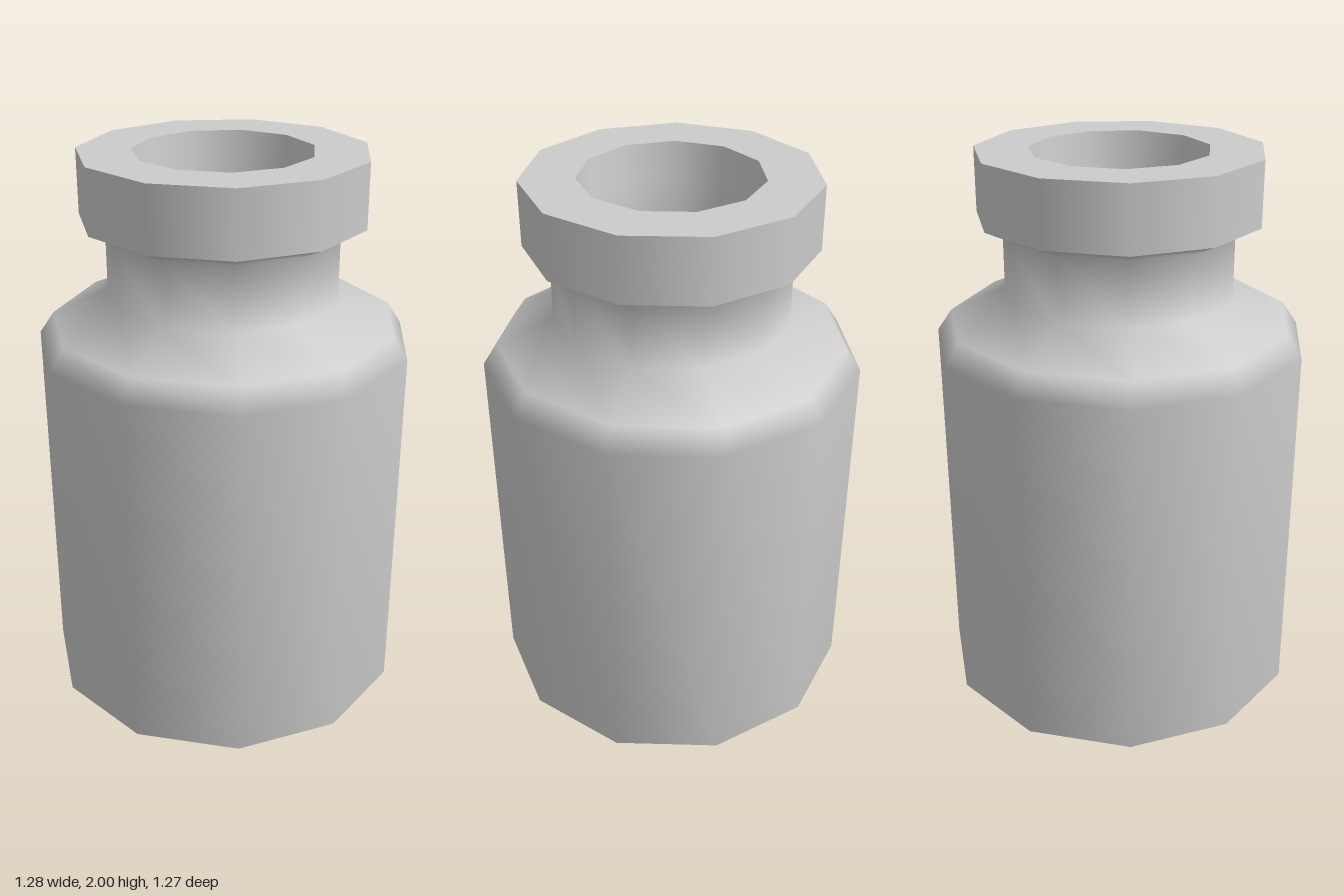
import * as THREE from 'three';

const SIDES = 11;

// Smooth eleven-sided turned surface with a corner pointing to the back
function turned(name, profile, material) {
  const points = profile.map(([r, y]) => new THREE.Vector2(r, y));
  const mesh = new THREE.Mesh(new THREE.LatheGeometry(points, SIDES, Math.PI), material);
  mesh.name = name;
  return mesh;
}

export function createModel() {
  const group = new THREE.Group();
  group.name = 'jar';
  const material = new THREE.MeshStandardMaterial({ color: 0xcccccc });

  // Each part ends at a sharp edge, so its normals stay smooth within it
  group.add(
    // Rounded base, wall, shoulder, neck and underside of the lip
    turned('body', [
      [0, 0], [0.3, 0.004], [0.54, 0.022], [0.648, 0.065],
      [0.648, 1.35], [0.597, 1.425], [0.402, 1.515],
      [0.402, 1.74], [0.488, 1.78],
    ], material),
    // Outer band of the lip
    turned('lipBand', [[0.488, 1.78], [0.488, 2]], material),
    // Flat top of the lip
    turned('lipTop', [[0.488, 2], [0.305, 2]], material),
    // Mouth narrowing into the neck, then the hollow down to its floor
    turned('interior', [
      [0.305, 2], [0.29, 1.88], [0.272, 1.74], [0.285, 1.5],
      [0.52, 1.38], [0.57, 1.3], [0.57, 0.14], [0.48, 0.08], [0, 0.06],
    ], material),
  );

  // Centre the odd-sided outline front to back
  group.children.forEach((part) => { part.position.z = 0.013; });
  return group;
}
